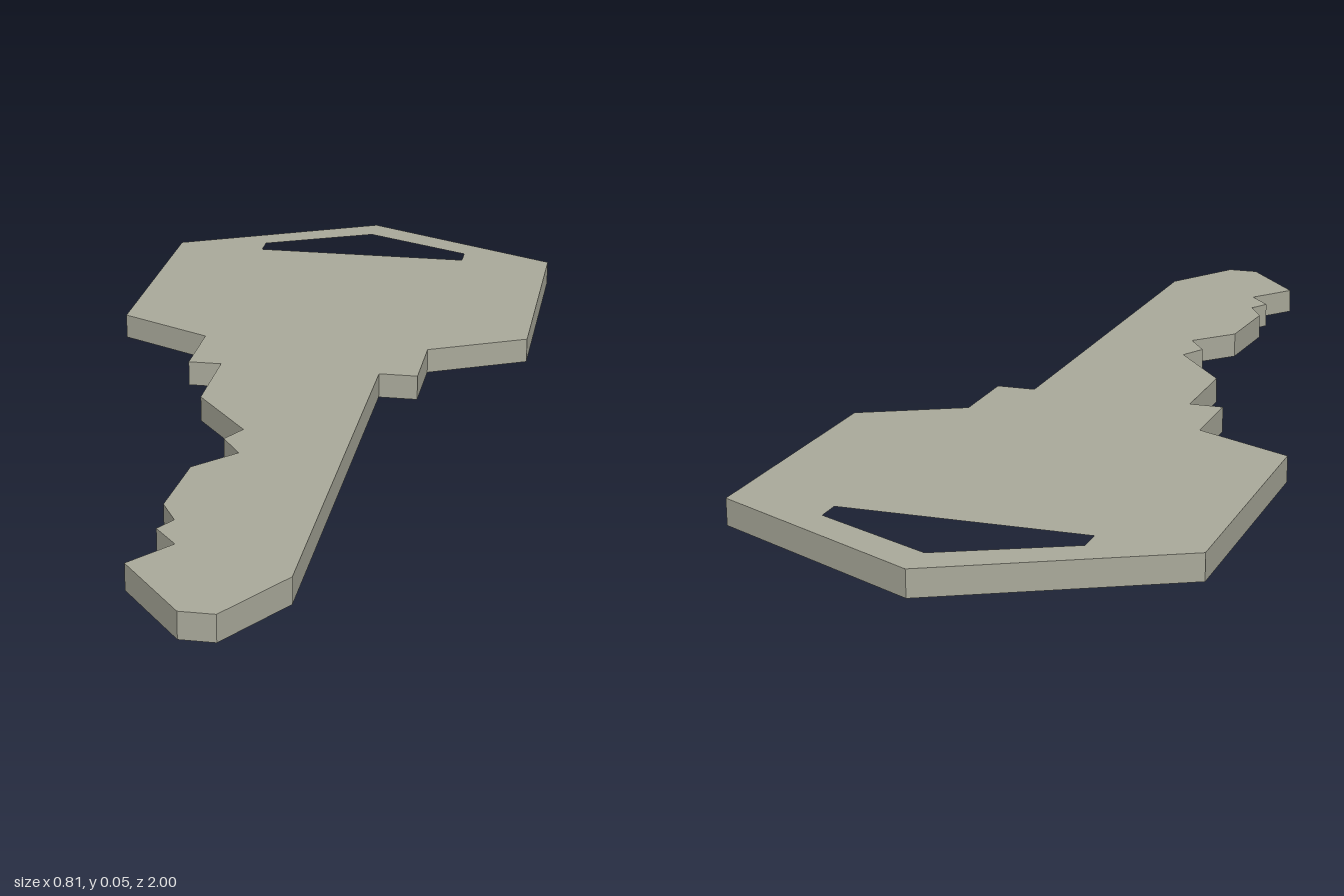
import * as THREE from 'three';

const THICKNESS = 0.047;

// Plan points are [x, z]; the shape's y axis becomes -z once laid flat.
const toPlan = (points) => points.map(([x, z]) => new THREE.Vector2(x, -z));

export function createModel() {
  const group = new THREE.Group();
  group.name = 'key';

  const metal = new THREE.MeshStandardMaterial({ color: 0xa9a99a });
  metal.name = 'dull nickel';

  // Right half of the head and collar, from the peak down to the shank
  const headSide = [[0, -1], [0.404, -0.793], [0.404, -0.292], [0.22, -0.197], [0.22, -0.048]];
  const mirroredSide = headSide.slice(1).reverse().map(([x, z]) => [-x, z]);

  // Straight back of the blade and its blunt tip
  const blade = [[0.147, -0.048], [0.147, 0.853], [0.06, 1], [0, 1]];

  // Cut teeth, from the tip back to the collar
  const teeth = [
    [-0.118, 0.851], [-0.057, 0.768], [-0.1, 0.715], [-0.079, 0.677],
    [-0.111, 0.619], [-0.102, 0.457], [-0.034, 0.381], [-0.073, 0.322],
    [-0.048, 0.273], [-0.157, 0.13], [-0.157, -0.048],
  ];

  const outline = new THREE.Shape(toPlan([...headSide, ...blade, ...teeth, ...mirroredSide]));

  // Slot for the key ring
  outline.holes.push(new THREE.Path(toPlan([
    [0, -0.927], [0.22, -0.82], [0.22, -0.775], [-0.22, -0.775], [-0.22, -0.82],
  ])));

  const geometry = new THREE.ExtrudeGeometry(outline, { depth: THICKNESS, bevelEnabled: false });
  geometry.rotateX(-Math.PI / 2);

  const body = new THREE.Mesh(geometry, metal);
  body.name = 'keyBody';
  group.add(body);
  return group;
}
